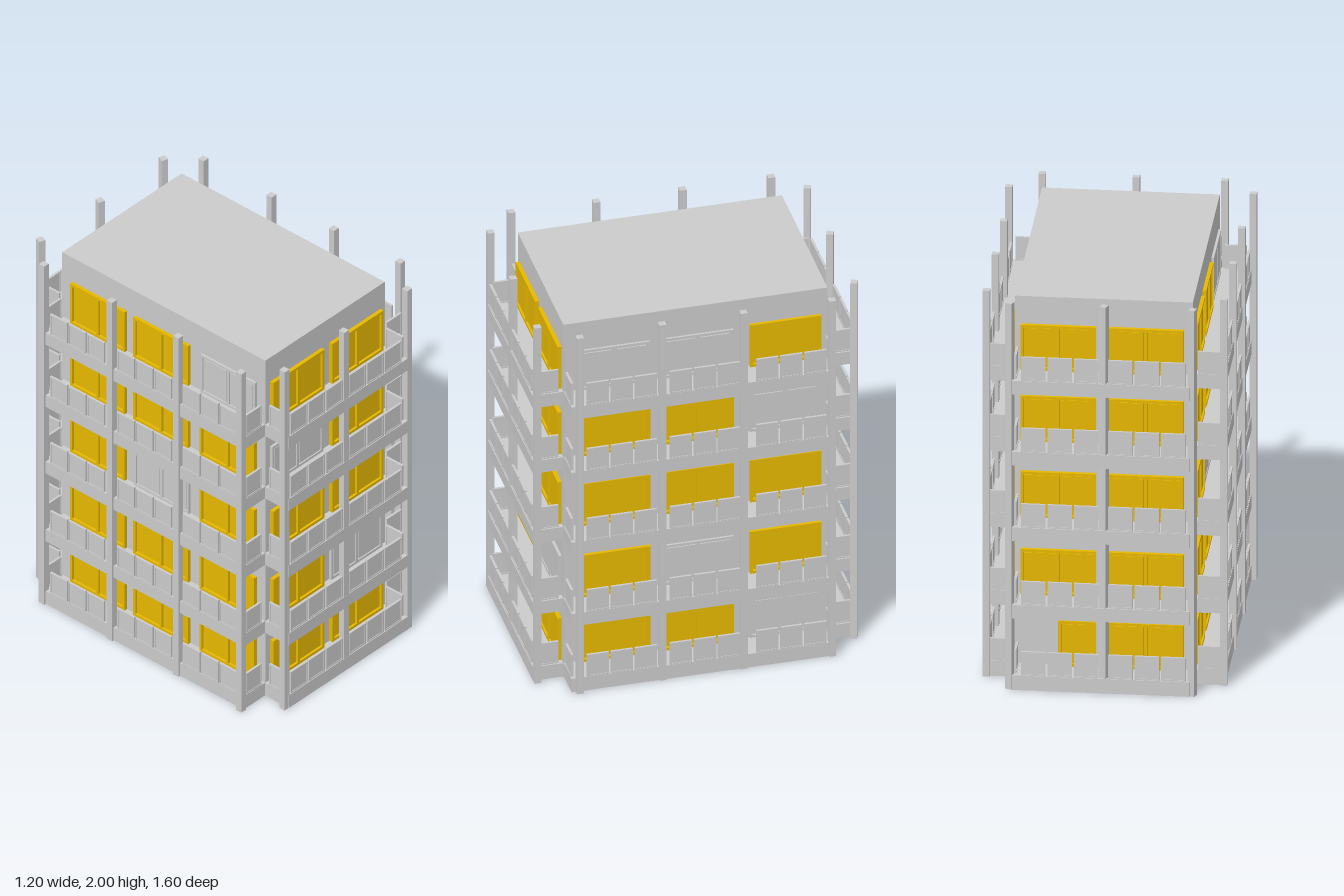
import * as THREE from 'three';

const grey = new THREE.MeshStandardMaterial({ color: 0xcccccc });
const yellow = new THREE.MeshStandardMaterial({ color: 0xe6b800 });

const FLOORS = [0.075, 0.44, 0.842, 1.235, 1.603]; // top of each slab
const SLAB = 0.07;
const RAIL_H = 0.122;

function box(parent, name, w, h, d, x, y, z, mat = grey) {
  const m = new THREE.Mesh(new THREE.BoxGeometry(w, h, d), mat);
  m.name = name;
  m.position.set(x, y, z);
  parent.add(m);
  return m;
}

// Rectangular frame with one or more rectangular openings, base at y = 0
function frameGeometry(w, h, border, openings, depth) {
  const rect = (T, x0, y0, x1, y1) => {
    const p = new T();
    p.moveTo(x0, y0);
    p.lineTo(x1, y0);
    p.lineTo(x1, y1);
    p.lineTo(x0, y1);
    p.closePath();
    return p;
  };
  const shape = rect(THREE.Shape, -w / 2, 0, w / 2, h);
  const cell = (w - border) / openings;
  for (let i = 0; i < openings; i++) {
    const x0 = -w / 2 + border + i * cell;
    shape.holes.push(rect(THREE.Path, x0, border, x0 + cell - border, h - border));
  }
  return new THREE.ExtrudeGeometry(shape, { depth, bevelEnabled: false });
}

// Glazed balcony door: outer frame with slightly recessed panes
function door(parent, x, y, z, w, panes, lit) {
  const g = new THREE.Group();
  g.name = lit ? 'litDoor' : 'darkDoor';
  const mat = lit ? yellow : grey;
  const h = lit ? 0.235 : 0.222;
  const frame = new THREE.Mesh(frameGeometry(w, h, 0.014, panes, lit ? 0.02 : 0.014), mat);
  frame.name = 'doorFrame';
  g.add(frame);
  const cell = (w - 0.014) / panes;
  for (let i = 0; i < panes; i++) {
    const px = -w / 2 + 0.007 + (i + 0.5) * cell;
    box(g, 'doorPane', cell - 0.024, h - 0.038, 0.012, px, h / 2, 0.006, mat);
    box(g, 'doorBacking', cell, h - 0.01, 0.004, px, h / 2, 0.002, mat);
  }
  g.position.set(x, y, z);
  parent.add(g);
}

// Railing panel: thin sheet held in a raised frame
function railPanel(parent, x, y, z, w, turn = 0) {
  const g = new THREE.Group();
  g.name = 'railingPanel';
  const frame = new THREE.Mesh(frameGeometry(w, RAIL_H, 0.007, 1, 0.012), grey);
  frame.name = 'railingFrame';
  frame.position.z = -0.006;
  g.add(frame);
  box(g, 'railingSheet', w - 0.01, RAIL_H - 0.01, 0.006, 0, RAIL_H / 2, 0);
  g.position.set(x, y, z);
  g.rotation.y = turn;
  parent.add(g);
}

// One character per floor: 1 lit, 0 dark, h only the right half lit
const FACADES = [
  { name: 'frontFacade', turn: 0, wall: 0.65, edge: 0.79, half: 0.415, doorW: 0.365, railW: 0.38,
    doors: [-0.205, 0.215], rails: [-0.217, 0.2], lit: ['11101', '10111'] },
  { name: 'backFacade', turn: Math.PI, wall: 0.65, edge: 0.79, half: 0.415, doorW: 0.36, railW: 0.38,
    doors: [-0.22, 0.2], rails: [-0.2, 0.217], lit: ['h1111', '11111'] },
  { name: 'leftFacade', turn: Math.PI / 2, wall: 0.425, edge: 0.568, half: 0.64, doorW: 0.35, railW: 0.355,
    doors: [-0.4, 0.01, 0.44], rails: [-0.4, 0.01, 0.435], lit: ['11110', '10110', '01101'] },
  { name: 'rightFacade', turn: -Math.PI / 2, wall: 0.42, edge: 0.568, half: 0.64, doorW: 0.35, railW: 0.355,
    doors: [-0.41, -0.005, 0.42], rails: [-0.42, 0.01, 0.43], lit: ['11111', '11011', '11110'] },
];

function facade(f) {
  const g = new THREE.Group();
  g.name = f.name;
  g.rotation.y = f.turn;
  FLOORS.forEach((y, row) => {
    f.doors.forEach((x, bay) => {
      const state = f.lit[bay][row];
      if (state === 'h') door(g, x + f.doorW / 4, y, f.wall, f.doorW / 2, 1, true);
      else door(g, x, y, f.wall, f.doorW, 2, state === '1');
    });
    // Three railing panels per bay
    const step = f.railW / 3;
    for (const x of f.rails) {
      for (let i = -1; i <= 1; i++) railPanel(g, x + i * step, y, f.edge, step - 0.01);
    }
    // Panels closing both ends of the balcony
    const mid = (f.wall + f.edge) / 2 + 0.005;
    for (const s of [-1, 1]) railPanel(g, s * f.half, y, mid, 0.105, Math.PI / 2);
  });
  return g;
}

export function createModel() {
  const model = new THREE.Group();
  model.name = 'apartmentBlock';

  // Solid core of the building
  box(model, 'core', 0.85, 1.98, 1.3, 0.003, 0.99, 0);

  // Balcony slabs on every floor, with notched corners
  for (const y of FLOORS) {
    const h = Math.min(SLAB, y) + (y < 0.1 ? 0.005 : 0);
    box(model, 'frontBackSlab', 0.85, h, 1.6, 0.003, y - h / 2, 0);
    box(model, 'sideSlab', 1.15, h, 1.29, 0, y - h / 2, 0.003);
  }

  for (const f of FACADES) model.add(facade(f));

  // Full-height columns along the balcony edges: x, z, twist
  const columns = [
    [-0.433, 0.782, 0], [-0.01, 0.782, 0], [0.44, 0.782, 0],
    [-0.433, -0.778, -0.35], [-0.01, -0.778, -0.35], [0.44, -0.778, -0.35],
    [0.566, -0.635, 0], [0.566, -0.2, 0], [0.566, 0.2, 0], [0.582, 0.61, 0],
    [-0.57, -0.635, 0], [-0.57, -0.2, 0], [-0.57, 0.225, 0], [-0.584, 0.64, 0],
  ];
  for (const [x, z, twist] of columns) {
    box(model, 'column', 0.034, 2, 0.034, x, 1, z).rotation.y = twist;
  }

  return model;
}
